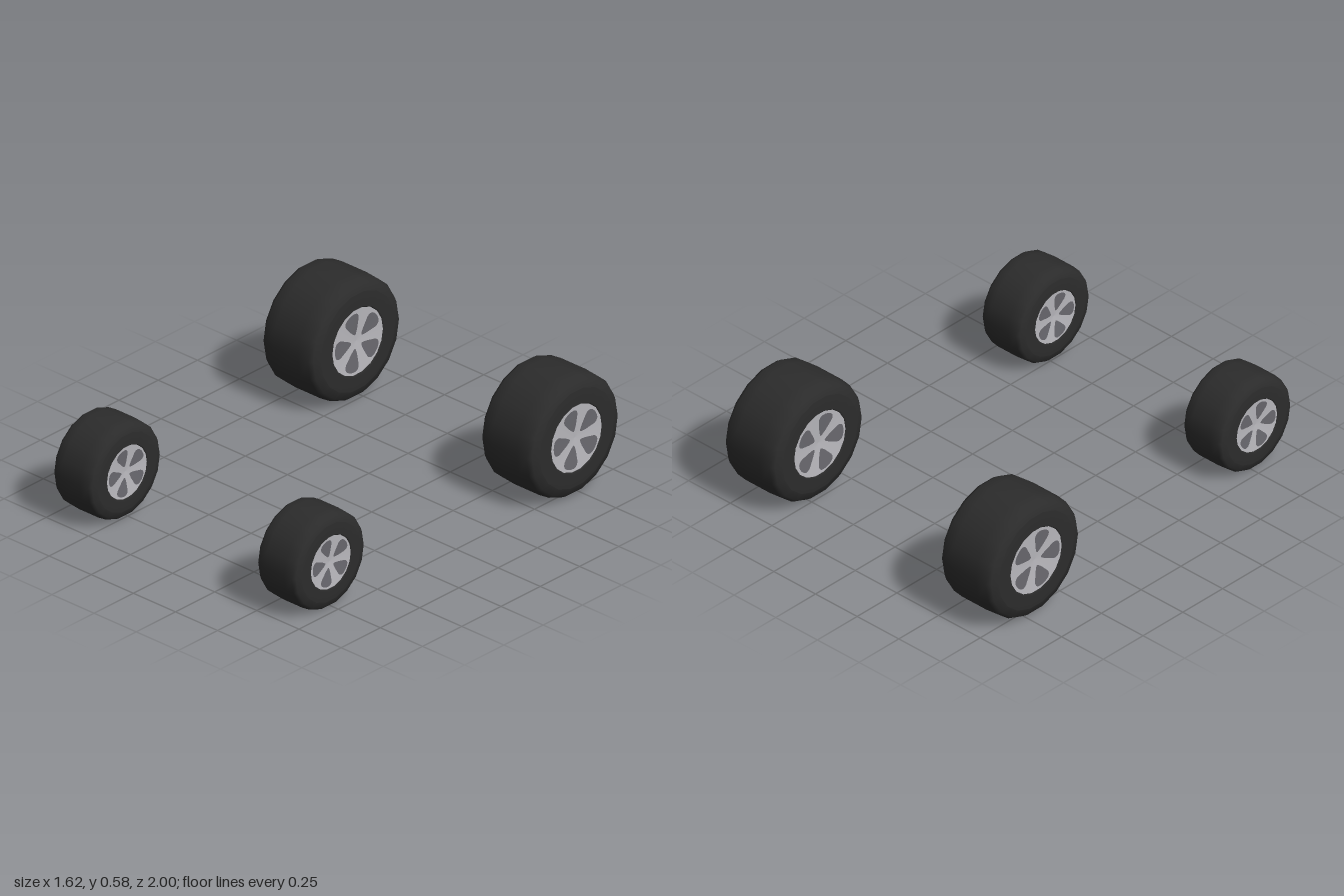
import * as THREE from 'three';

const SIDES = 18;
const tyreMat = new THREE.MeshStandardMaterial({ color: 0x2c2c2c });
tyreMat.name = 'black rubber';
const rimMat = new THREE.MeshStandardMaterial({ color: 0xb9b8bd });
rimMat.name = 'light alloy';
const holeMat = new THREE.MeshStandardMaterial({ color: 0x69686e });
holeMat.name = 'dark grey';

function mesh(name, geometry, material) {
  const m = new THREE.Mesh(geometry, material);
  m.name = name;
  return m;
}

// Revolves [radius, offset] points about the x axis
function turned(points, sides = SIDES) {
  const profile = points.map(([r, x]) => new THREE.Vector2(r, x));
  return new THREE.LatheGeometry(profile, sides).rotateZ(-Math.PI / 2);
}

// Teardrop opening between two spokes, bent to follow the dished rim
function opening(angle, rim, edge, dish) {
  const half = [[0.22, 0], [0.34, 0.1], [0.52, 0.19], [0.72, 0.27], [0.85, 0.22], [0.91, 0]];
  const outline = [...half, ...half.slice(1, -1).reverse().map(([x, y]) => [x, -y])];
  const curve = new THREE.CatmullRomCurve3(
    outline.map(([x, y]) => new THREE.Vector3(x * rim, -y * rim, 0)), true);
  const points = curve.getPoints(30).slice(0, -1).map((p) => new THREE.Vector2(p.x, p.y));
  const geometry = new THREE.ShapeGeometry(new THREE.Shape(points));
  const pos = geometry.attributes.position;
  for (let i = 0; i < pos.count; i++) {
    const r = Math.hypot(pos.getX(i), pos.getY(i)) / rim;
    pos.setZ(i, edge - dish * (1 - r) + 0.003);
  }
  geometry.rotateZ(angle).rotateY(Math.PI / 2);
  geometry.computeVertexNormals();
  return geometry;
}

// One outer face: sidewall, dished rim and five openings
function wheelFace(R, h) {
  const face = new THREE.Group();
  face.name = 'wheelFace';
  const rim = R * 0.55, edge = h - 0.006, dish = 0.01;
  face.add(mesh('sidewall', turned([[R * 0.81, h - 0.004], [rim * 1.04, h], [rim, edge]]), tyreMat));
  face.add(mesh('rim', turned([[rim, edge], [0, edge - dish]]), rimMat));
  for (let i = 0; i < 5; i++) {
    const angle = Math.PI + (i * Math.PI * 2) / 5;
    face.add(mesh('rimOpening', opening(angle, rim, edge, dish), holeMat));
  }
  return face;
}

function wheel(name, R, width) {
  const group = new THREE.Group();
  group.name = name;
  const h = width / 2;
  // Tread with rounded shoulders
  const shoulder = [[R, h * 0.45], [R * 0.98, h * 0.78], [R * 0.93, h * 0.91], [R * 0.81, h - 0.004]];
  const profile = [...shoulder.map(([r, x]) => [r, -x]).reverse(), ...shoulder];
  group.add(mesh('tread', turned(profile), tyreMat));
  // The two faces mirror each other
  const left = wheelFace(R, h);
  const right = wheelFace(R, h);
  right.rotation.z = Math.PI;
  group.add(left, right);
  return group;
}

export function createModel() {
  const model = new THREE.Group();
  model.name = 'wheelSet';
  for (const [side, s] of [['Left', 1], ['Right', -1]]) {
    const front = wheel('front' + side + 'Wheel', 0.232, 0.246);
    front.position.set(s * 0.605, 0.23, 0.768);
    const rear = wheel('rear' + side + 'Wheel', 0.293, 0.325);
    rear.position.set(s * 0.649, 0.291, -0.707);
    model.add(front, rear);
  }
  return model;
}
